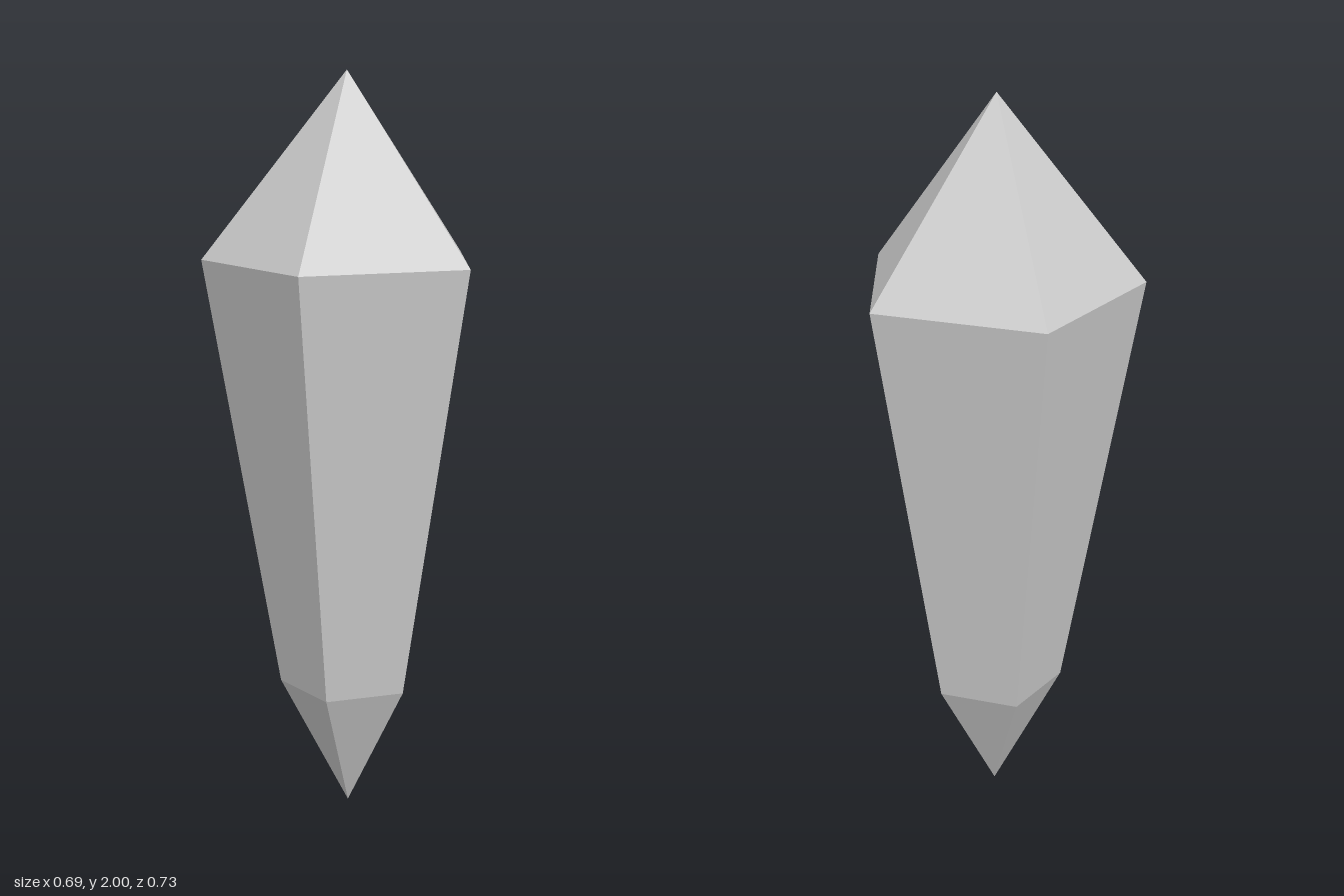
import * as THREE from 'three';

export function createModel() {
  const model = new THREE.Group();
  model.name = 'crystal';

  const grey = new THREE.MeshStandardMaterial({ color: 0xcccccc, flatShading: true });
  grey.name = 'pale grey';

  // Five-sided shard, one corner pointing to +x; profile runs from base tip to top tip
  const sides = 5;
  const section = (name, profile) => {
    const points = profile.map(([r, y]) => new THREE.Vector2(r, y));
    const mesh = new THREE.Mesh(new THREE.LatheGeometry(points, sides, Math.PI / 2), grey);
    mesh.name = name;
    mesh.position.x = -0.0365; // a pentagon's axis sits off its bounding-box centre
    model.add(mesh);
  };

  section('lowerPoint', [[0, 0], [0.184, 0.352]]);
  section('body', [[0.184, 0.352], [0.382, 1.513]]);
  section('upperPoint', [[0.382, 1.513], [0, 2]]);

  return model;
}
